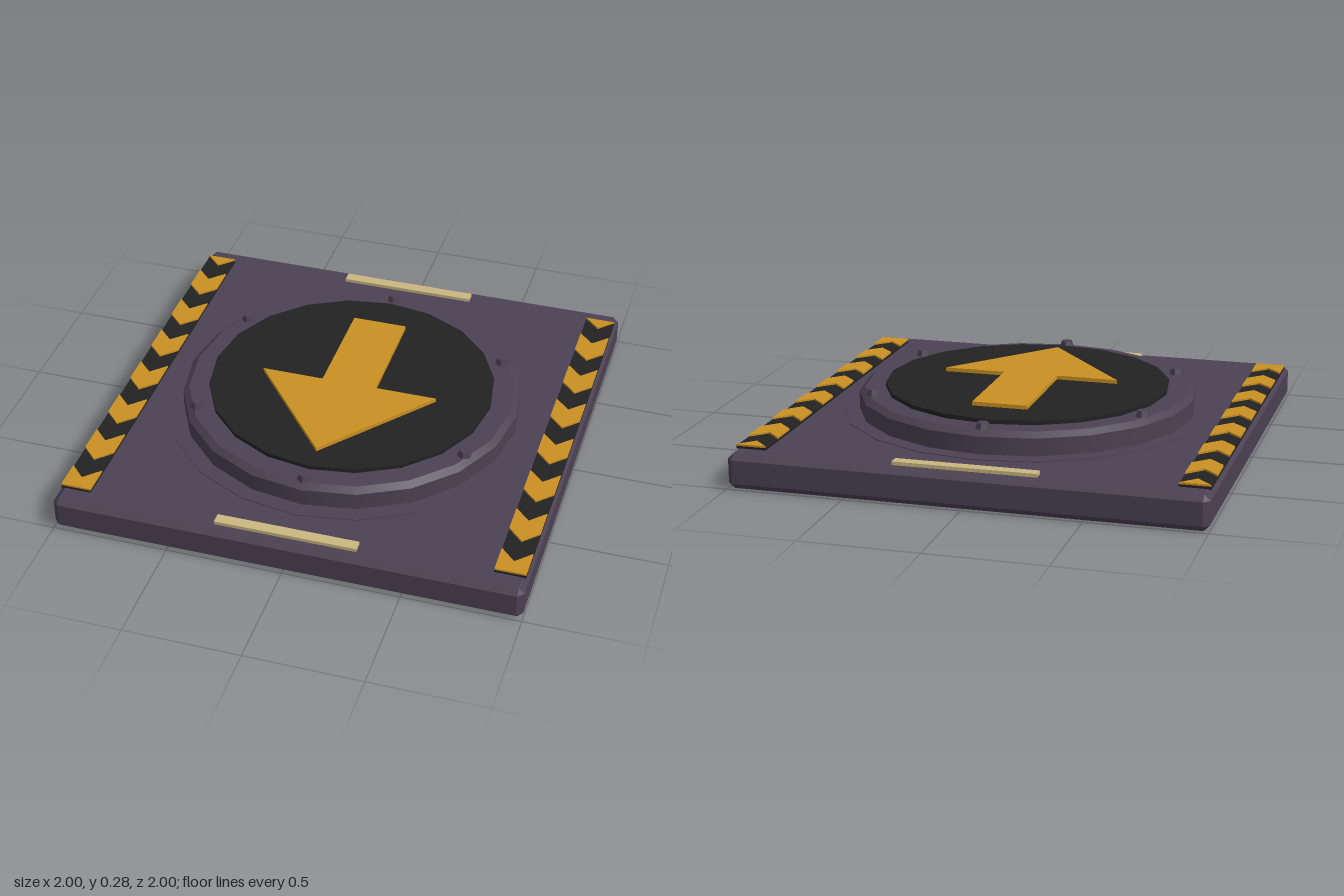
import * as THREE from 'three';
import { ConvexGeometry } from 'three/addons/geometries/ConvexGeometry.js';

const paint = (name, color) => {
  const m = new THREE.MeshStandardMaterial({ color });
  m.name = name;
  return m;
};

export function createModel() {
  const model = new THREE.Group();
  model.name = 'directionPad';
  const purple = paint('dusky purple', 0x4b4153);
  const black = paint('charcoal black', 0x222222);
  const orange = paint('warning orange', 0xca9022);
  const cream = paint('pale cream', 0xcab780);

  const add = (name, geometry, material, x = 0, y = 0, z = 0, parent = model) => {
    const mesh = new THREE.Mesh(geometry, material);
    mesh.name = name;
    mesh.position.set(x, y, z);
    parent.add(mesh);
    return mesh;
  };

  // Flat plate from an outline of [x, z] points, lying on y = 0
  const plate = (points, height) => {
    const shape = new THREE.Shape(points.map(([x, z]) => new THREE.Vector2(x, -z)));
    return new THREE.ExtrudeGeometry(shape, { depth: height, bevelEnabled: false }).rotateX(-Math.PI / 2);
  };

  // Upright 20-sided disc standing on y
  const disc = (name, top, bottom, y, height, material) =>
    add(name, new THREE.CylinderGeometry(top, bottom, height, 20), material, 0, y + height / 2, 0);

  // Square base slab with every edge chamfered
  const corners = [];
  const half = 0.075, cut = 0.025;
  for (const sx of [-1, 1]) for (const sy of [-1, 1]) for (const sz of [-1, 1]) {
    corners.push(
      new THREE.Vector3(sx, sy * (half - cut), sz * (1 - cut)),
      new THREE.Vector3(sx * (1 - cut), sy * half, sz * (1 - cut)),
      new THREE.Vector3(sx * (1 - cut), sy * (half - cut), sz)
    );
  }
  add('baseSlab', new ConvexGeometry(corners), purple, 0, half, 0);

  // Stepped round platform
  disc('platformFlange', 0.805, 0.805, 0.148, 0.005, purple);
  disc('platformWall', 0.735, 0.735, 0.148, 0.08, purple);
  disc('platformBevel', 0.708, 0.735, 0.228, 0.022, purple);
  disc('platformPanel', 0.62, 0.62, 0.248, 0.02, black);

  // Arrow pointing to the front
  const arrow = [[0, 0.52], [0.39, 0.045], [0.12, 0.045], [0.12, -0.44],
    [-0.12, -0.44], [-0.12, 0.045], [-0.39, 0.045]];
  add('arrow', plate(arrow, 0.017), orange, 0, 0.268, 0);

  // Six hexagonal bolts around the rim
  const boltGeometry = new THREE.CylinderGeometry(0.024, 0.033, 0.027, 6).toNonIndexed();
  boltGeometry.computeVertexNormals();
  for (let i = 0; i < 6; i++) {
    const a = i * Math.PI / 3;
    add('bolt', boltGeometry, purple, Math.sin(a) * 0.683, 0.2625, Math.cos(a) * 0.683);
  }

  // Hazard strips on both sides, chevrons pointing to the front
  const w = 0.065, end = 0.91, pitch = 0.26, tip = 0.065;
  for (const side of [-1, 1]) {
    const strip = new THREE.Group();
    strip.name = side > 0 ? 'leftHazardStrip' : 'rightHazardStrip';
    strip.position.set(side * 0.925, 0, 0);
    model.add(strip);
    add('stripBacking', new THREE.BoxGeometry(2 * w, 0.012, 2 * end), black, 0, 0.154, 0, strip);
    add('chevronTip', plate([[-w, -end], [0, -end + tip], [w, -end]], 0.008), orange, 0, 0.16, 0, strip);
    for (let i = 0; i < 7; i++) {
      const z0 = -end + pitch * (i + 0.5), z1 = z0 + pitch / 2;
      const outline = [[-w, z0], [0, z0 + tip], [w, z0], [w, z1]];
      if (i < 6) outline.push([0, z1 + tip]); // the last chevron is cut straight
      outline.push([-w, z1]);
      add('chevron', plate(outline, 0.008), orange, 0, 0.16, 0, strip);
    }
  }

  // Light bars at front and back
  for (const side of [-1, 1]) {
    add(side > 0 ? 'frontLightBar' : 'backLightBar',
      new THREE.BoxGeometry(0.604, 0.018, 0.048), cream, 0, 0.156, side * 0.929);
  }
  return model;
}
